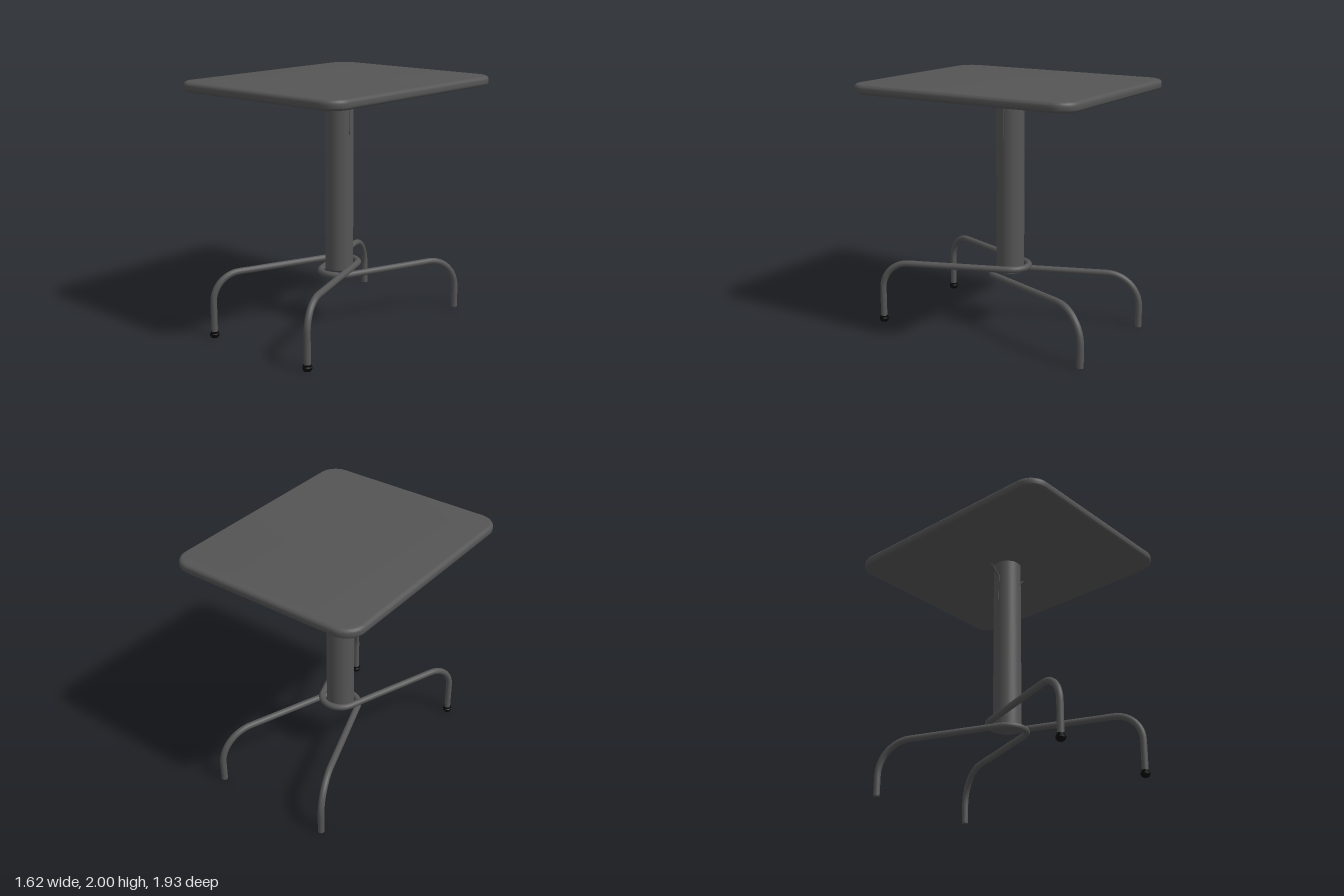
import * as THREE from 'three';
import { toCreasedNormals } from 'three/addons/utils/BufferGeometryUtils.js';

const TUBE_R = 0.026;
const FOOT = { x: 0.5, z: 0.92 };
const WRAP_R = 0.15;

const grey = new THREE.MeshStandardMaterial({ color: 0x555555 });
const black = new THREE.MeshStandardMaterial({ color: 0x080808 });

function add(parent, name, geometry, material = grey) {
  const mesh = new THREE.Mesh(geometry, material);
  mesh.name = name;
  parent.add(mesh);
  return mesh;
}

// Slab with rounded corners and a softly rounded rim
function tabletopGeometry(w, d, thick, corner, rim) {
  const x = w / 2 - rim, y = d / 2 - rim, r = corner - rim;
  const s = new THREE.Shape();
  s.absarc(x - r, y - r, r, 0, Math.PI / 2);
  s.absarc(-x + r, y - r, r, Math.PI / 2, Math.PI);
  s.absarc(-x + r, -y + r, r, Math.PI, Math.PI * 1.5);
  s.absarc(x - r, -y + r, r, Math.PI * 1.5, Math.PI * 2);
  const g = new THREE.ExtrudeGeometry(s, {
    depth: thick - 2 * rim, bevelThickness: rim, bevelSize: rim, bevelSegments: 6, curveSegments: 12,
  });
  g.translate(0, 0, rim).rotateX(-Math.PI / 2);
  return toCreasedNormals(g, 0.7);
}

// One bent tube: foot, bend, straight run, wrap round the column, and mirrored back
function legPath(height, bend, bottom, zSign) {
  const a = Math.atan2(FOOT.x, FOOT.z) - Math.asin(WRAP_R / Math.hypot(FOOT.x, FOOT.z));
  const half = [];
  for (let i = 0; i < 4; i++) {
    half.push([FOOT.x, bottom + (height - bend - bottom) * i / 4, FOOT.z]);
  }
  for (let i = 0; i <= 12; i++) {
    const t = (i / 12) * Math.PI / 2, run = bend * (1 - Math.cos(t));
    half.push([FOOT.x - run * Math.sin(a), height - bend + bend * Math.sin(t), FOOT.z - run * Math.cos(a)]);
  }
  const [sx, , sz] = half[half.length - 1];
  const ex = WRAP_R * Math.cos(a), ez = -WRAP_R * Math.sin(a);
  for (let i = 1; i < 8; i++) {
    half.push([sx + (ex - sx) * i / 8, height, sz + (ez - sz) * i / 8]);
  }
  for (let i = 0; i < 10; i++) {
    const t = -a - (Math.PI / 2 - a) * i / 10;
    half.push([WRAP_R * Math.cos(t), height, WRAP_R * Math.sin(t)]);
  }
  const other = half.map(([x, y, z]) => [-x, y, z]).reverse();
  const points = [...half, [0, height, -WRAP_R], ...other]
    .map(([x, y, z]) => new THREE.Vector3(x, y, z * zSign));
  const curve = new THREE.CatmullRomCurve3(points);
  curve.arcLengthDivisions = 1000;
  return curve;
}

function addLegs(parent, name, height, bend, bottom, zSign) {
  const legs = new THREE.Group();
  legs.name = name;
  parent.add(legs);
  add(legs, 'legTube', new THREE.TubeGeometry(legPath(height, bend, bottom, zSign), 260, TUBE_R, 16));
  for (const side of [-1, 1]) {
    const cap = add(legs, 'legEnd', new THREE.CircleGeometry(TUBE_R, 16).rotateX(Math.PI / 2));
    cap.position.set(side * FOOT.x, bottom, zSign * FOOT.z);
  }
  return legs;
}

export function createModel() {
  const table = new THREE.Group();
  table.name = 'pedestalTable';

  // Top and column
  add(table, 'tabletop', tabletopGeometry(1.62, 1.935, 0.077, 0.155, 0.03)).position.y = 1.923;
  add(table, 'column', new THREE.CylinderGeometry(0.112, 0.112, 1.463, 48)).position.y = 0.465 + 1.463 / 2;

  // Front legs wrap behind the column, rear legs wrap in front of it
  const front = addLegs(table, 'frontLegs', 0.51, 0.22, 0.02, 1);
  addLegs(table, 'rearLegs', 0.44, 0.27, 0, -1);

  // Black glides under the front legs
  const profile = [[0, 0], [0.027, 0], [0.037, 0.017], [0.037, 0.03], [0.03, 0.036], [0.03, 0.05], [0, 0.05]]
    .map(([r, y]) => new THREE.Vector2(r, y));
  for (const side of [-1, 1]) {
    const glide = toCreasedNormals(new THREE.LatheGeometry(profile, 20), 0.5);
    add(front, 'footGlide', glide, black).position.set(side * FOOT.x, 0, FOOT.z);
  }

  // Thin bent strips on both sides of the column
  const strip = [[0.11, 1.565], [0.117, 1.565], [0.117, 1.79], [0.198, 1.868], [0.194, 1.872], [0.11, 1.795]];
  for (const side of [1, -1]) {
    const g = new THREE.ExtrudeGeometry(new THREE.Shape(strip.map(([x, y]) => new THREE.Vector2(x, y))),
      { depth: 0.02, bevelEnabled: false });
    g.translate(0, 0, -0.01);
    add(table, side > 0 ? 'leftClip' : 'rightClip', g).rotation.y = side > 0 ? 0 : Math.PI;
  }
  return table;
}
